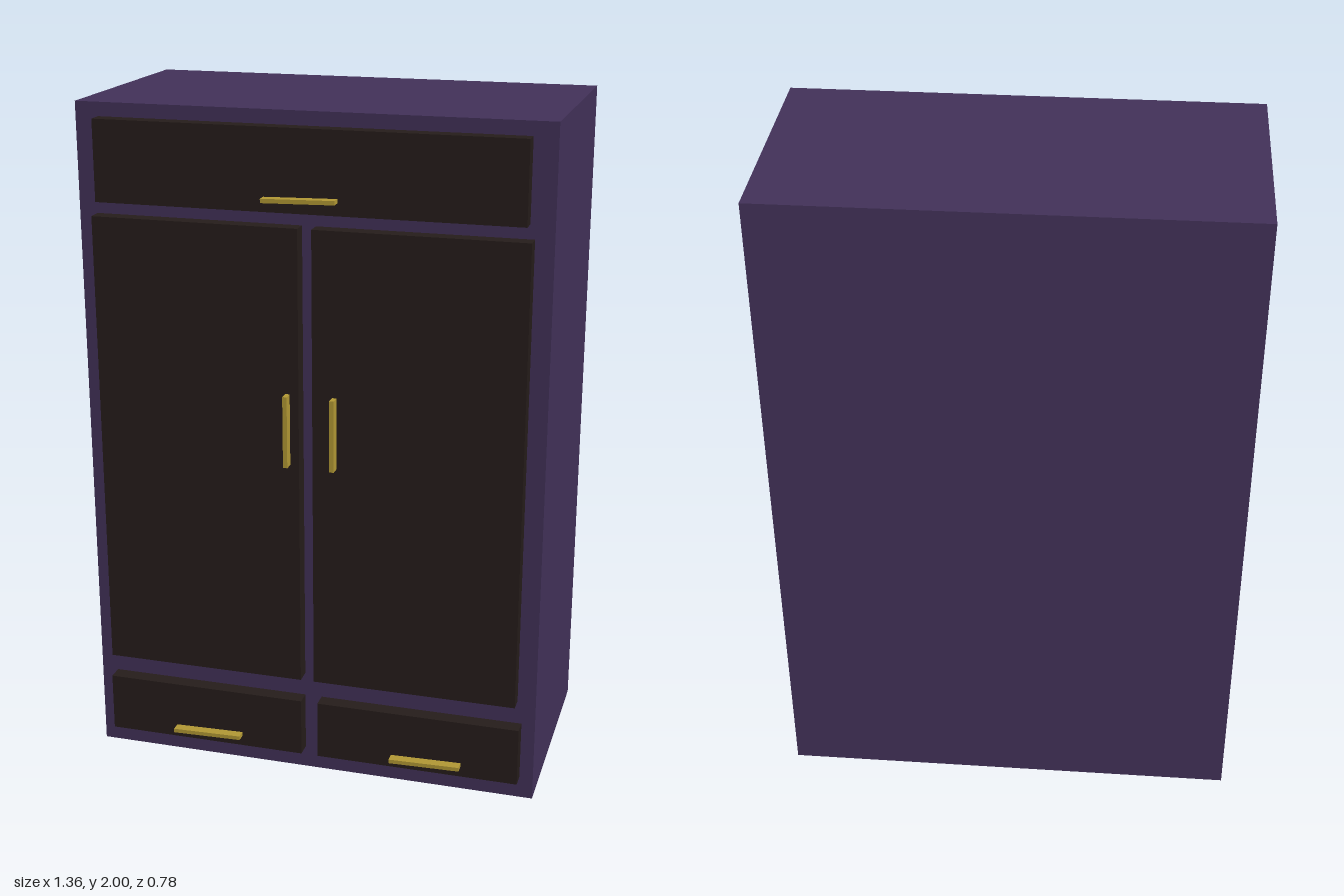
import * as THREE from 'three';

export function createModel() {
  const group = new THREE.Group();
  const purple = new THREE.MeshStandardMaterial({ color: 0x43325a });
  const dark = new THREE.MeshStandardMaterial({ color: 0x261d1b });
  const gold = new THREE.MeshStandardMaterial({ color: 0xb59b35 });

  // Box given by its extents on each axis
  function box(name, material, [x0, x1], [y0, y1], [z0, z1], tilt = 0) {
    const mesh = new THREE.Mesh(new THREE.BoxGeometry(x1 - x0, y1 - y0, z1 - z0), material);
    mesh.position.set((x0 + x1) / 2, (y0 + y1) / 2, (z0 + z1) / 2);
    mesh.rotation.z = tilt;
    mesh.name = name;
    group.add(mesh);
  }

  // Cabinet carcass
  box('cabinetBody', purple, [-0.68, 0.68], [0, 2], [-0.387, 0.314]);

  // Drawer fronts and doors, standing proud of the carcass
  const panelZ = [0.3, 0.36];
  box('topDrawer', dark, [-0.612, 0.612], [1.727, 1.96], panelZ);
  box('rightDoor', dark, [-0.626, -0.02], [0.316, 1.686], panelZ);
  box('leftDoor', dark, [0.02, 0.626], [0.316, 1.686], panelZ);
  box('rightBottomDrawer', dark, [-0.63, -0.02], [0.067, 0.244], panelZ);
  box('leftBottomDrawer', dark, [0.031, 0.64], [0.067, 0.244], panelZ);

  // Bar handles; the drawer ones sit slightly askew
  const handleZ = [0.355, 0.389];
  box('topDrawerHandle', gold, [-0.116, 0.094], [1.76, 1.772], handleZ, 0.025);
  box('rightBottomDrawerHandle', gold, [-0.42, -0.208], [0.097, 0.109], handleZ, 0.025);
  box('leftBottomDrawerHandle', gold, [0.259, 0.471], [0.097, 0.109], handleZ, 0.025);
  box('rightDoorHandle', gold, [-0.059, -0.046], [0.998, 1.21], handleZ);
  box('leftDoorHandle', gold, [0.078, 0.091], [0.998, 1.21], handleZ);

  return group;
}
